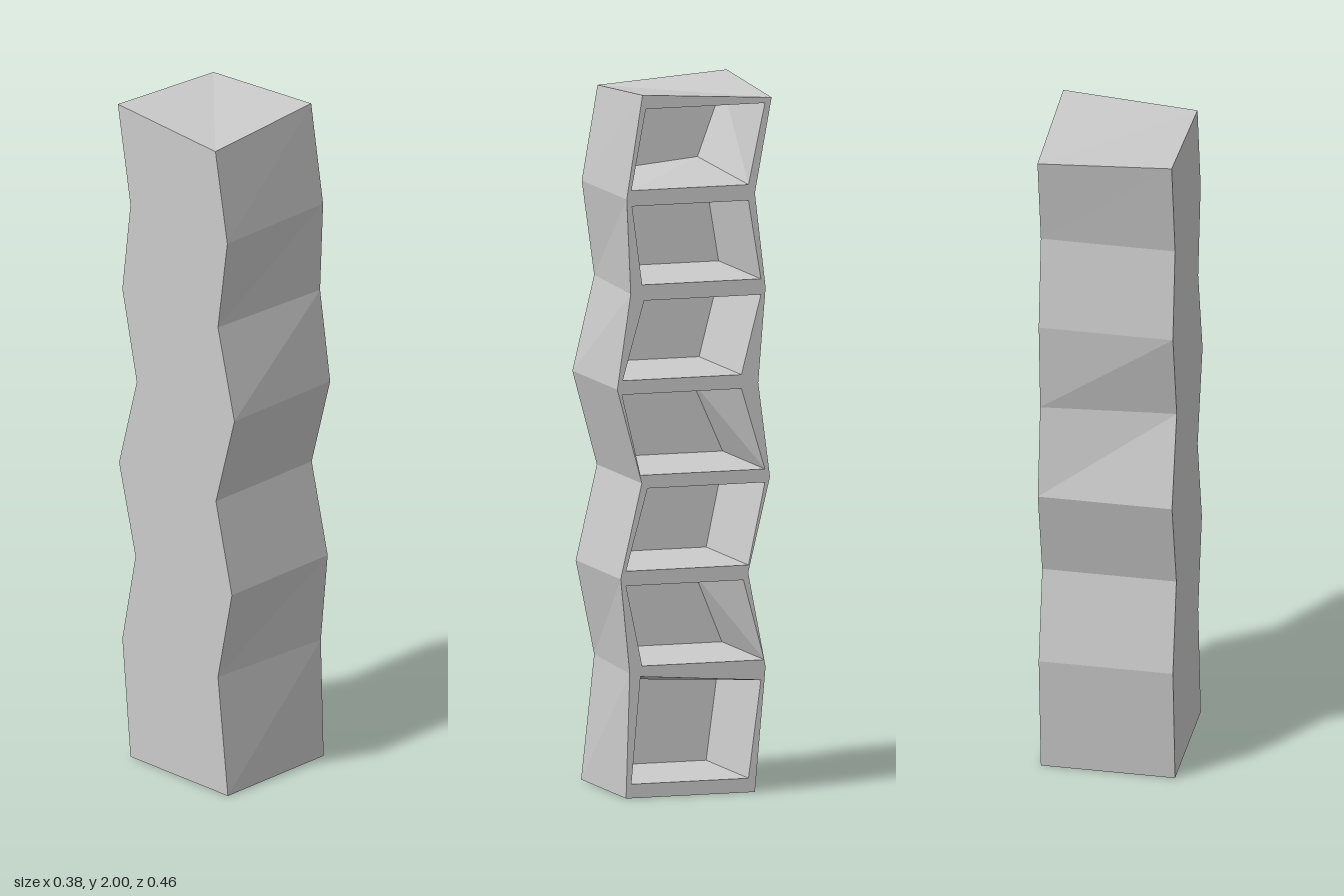
import * as THREE from 'three';

const HALF = 0.1925;      // half width in x
const INNER = -0.17;      // inner face of the closed side
const material = new THREE.MeshStandardMaterial({ color: 0xcccccc, flatShading: true });

// Zigzag levels: [y, front z, back z] and [front z, back z] on the open side
const LEVELS = [
  { y: 0, z: [0.204, -0.18] },
  { y: 0.355, z: [0.165, -0.212], open: [0.193, -0.212] },
  { y: 0.625, z: [0.22, -0.16] },
  { y: 0.895, z: [0.157, -0.225] },
  { y: 1.165, z: [0.23, -0.155], open: [0.23, -0.19] },
  { y: 1.435, z: [0.165, -0.212], open: [0.19, -0.212] },
  { y: 1.705, z: [0.202, -0.18] },
  { y: 2, z: [0.155, -0.23], twist: 0.025 },
];

// Compartments: mouth corners as [z, y] from front bottom, back bottom, back top, front top;
// "deep" replaces single corners at the inner end
const CELLS = [
  { mouth: [[0.188, 0.04], [-0.161, 0.04], [-0.198, 0.318], [0.161, 0.345]], deep: { 3: [0.14, 0.286] } },
  { mouth: [[0.156, 0.375], [-0.208, 0.375], [-0.146, 0.605], [0.204, 0.605]], deep: { 2: [-0.13, 0.567] } },
  { mouth: [[0.204, 0.647], [-0.161, 0.647], [-0.21, 0.88], [0.14, 0.88]], deep: { 0: [0.185, 0.647], 3: [0.13, 0.86] } },
  { mouth: [[0.161, 0.918], [-0.21, 0.918], [-0.14, 1.15], [0.216, 1.15]], deep: { 2: [-0.12, 1.12] } },
  { mouth: [[0.214, 1.19], [-0.14, 1.19], [-0.198, 1.415], [0.15, 1.415]], deep: { 0: [0.19, 1.19], 3: [0.135, 1.39] } },
  { mouth: [[0.156, 1.46], [-0.198, 1.46], [-0.161, 1.685], [0.186, 1.685]], deep: {} },
  { mouth: [[0.188, 1.73], [-0.161, 1.73], [-0.21, 1.96], [0.145, 1.96]], deep: { 1: [-0.135, 1.76] } },
];

// Mesh from four-cornered faces, each split along its first-to-third corner
function quadMesh(name, quads) {
  const points = quads.flatMap(([a, b, c, d]) => [a, b, c, a, c, d]);
  const geometry = new THREE.BufferGeometry();
  geometry.setAttribute('position', new THREE.Float32BufferAttribute(points.flat(), 3));
  geometry.computeVertexNormals();
  const mesh = new THREE.Mesh(geometry, material);
  mesh.name = name;
  return mesh;
}

// Corners of a level: open front, open back, closed back, closed front
function ring({ y, z, open = z, twist = 0 }) {
  return [
    [HALF, y, open[0]], [HALF, y - twist, open[1]],
    [-HALF, y, z[1]], [-HALF, y - twist, z[0]],
  ];
}

export function createModel() {
  const group = new THREE.Group();
  group.name = 'zigzagShelf';
  const rings = LEVELS.map(ring);

  // Outer walls: back, closed side and front
  ['backWall', 'closedSide', 'frontWall'].forEach((name, i) => {
    const k = i + 1, next = (k + 1) % 4;
    group.add(quadMesh(name, rings.slice(1).map((hi, j) =>
      [rings[j][k], rings[j][next], hi[next], hi[k]])));
  });

  // Top and base
  const [fr, br, bl, fl] = rings[rings.length - 1];
  group.add(quadMesh('top', [[br, bl, fl, fr]]));
  group.add(quadMesh('base', [[...rings[0]].reverse()]));

  // Open side frame with one hole for each compartment
  const flat = (z, y) => new THREE.Vector2(-z, y);
  const frame = new THREE.Shape([
    ...rings.map((r) => flat(r[1][2], r[1][1])),
    ...[...rings].reverse().map((r) => flat(r[0][2], r[0][1])),
  ]);
  frame.holes = CELLS.map((c) => new THREE.Path(c.mouth.map(([z, y]) => flat(z, y))));
  const rim = new THREE.Mesh(
    new THREE.ShapeGeometry(frame).rotateY(Math.PI / 2).translate(HALF, 0, 0), material);
  rim.name = 'openSideFrame';
  group.add(rim);

  // Compartment linings: floor, back, ceiling, front and inner panel
  CELLS.forEach(({ mouth, deep }, i) => {
    const near = mouth.map(([z, y]) => [HALF, y, z]);
    const far = mouth.map((p, k) => {
      const [z, y] = deep[k] ?? p;
      return [INNER, y, z];
    });
    const sides = near.map((p, k) => [p, near[(k + 1) % 4], far[(k + 1) % 4], far[k]]);
    group.add(quadMesh(`compartment${i + 1}`, [...sides, far]));
  });

  return group;
}
